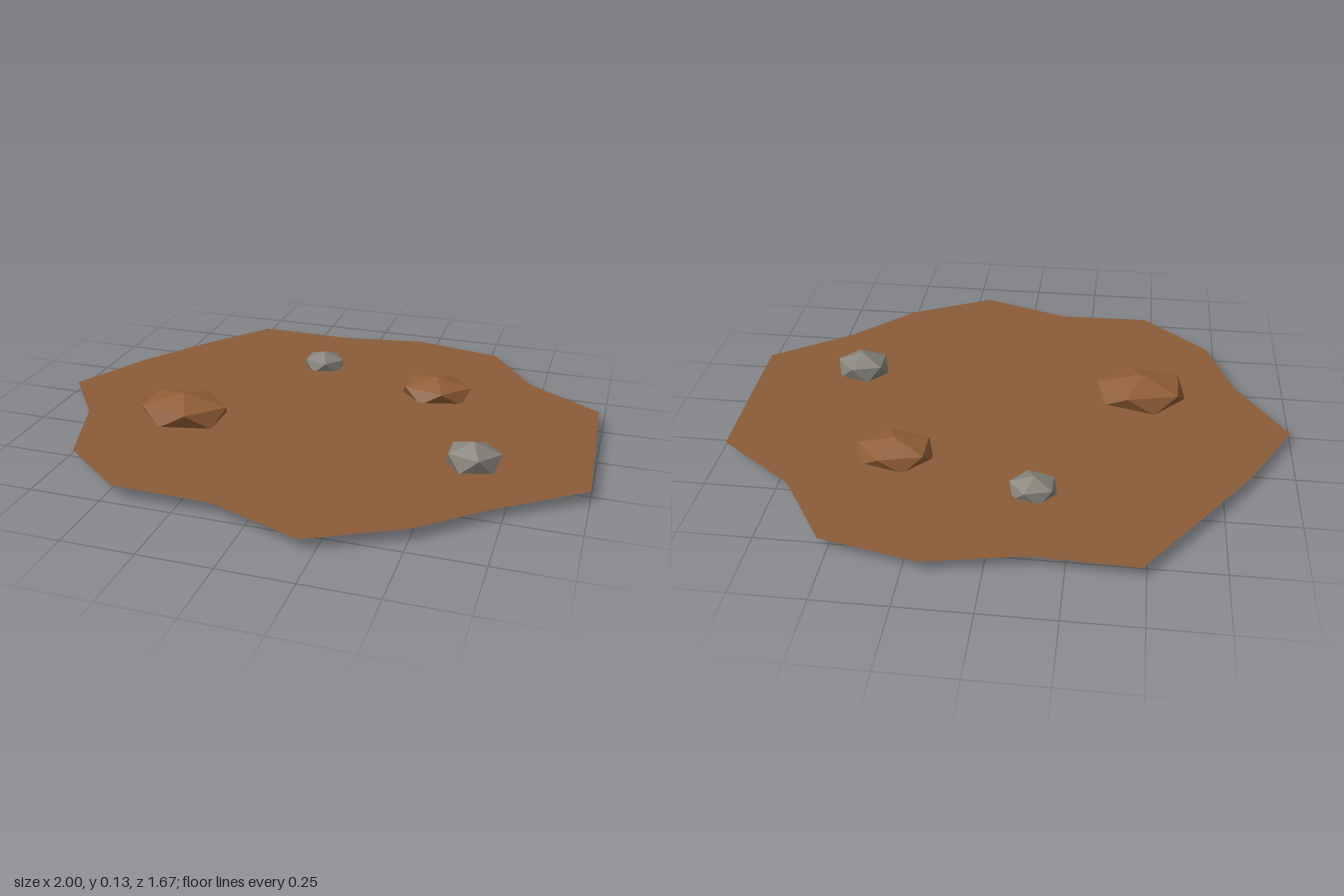
import * as THREE from 'three';
import { ConvexGeometry } from 'three/addons/geometries/ConvexGeometry.js';

const mat = (name, color, side = THREE.FrontSide) =>
  new THREE.MeshStandardMaterial({ name, color, side, flatShading: true });

// Ragged, slightly uneven dirt patch: a triangle fan around the middle
function dirtPatch(material) {
  const rim = [ // x, y, z
    [0.99, 0.042, -0.02], [0.98, 0.045, -0.32], [0.705, 0.04, -0.51], [0.53, 0.038, -0.77],
    [0.195, 0.037, -0.84], [-0.13, 0.04, -0.78], [-0.485, 0.038, -0.79], [-0.695, 0.04, -0.51],
    [-0.845, 0.036, -0.3], [-1, 0.03, -0.02], [-0.81, 0.047, 0.24], [-0.72, 0.036, 0.52],
    [-0.47, 0.046, 0.72], [-0.13, 0.042, 0.72], [0.2, 0.038, 0.835], [0.505, 0.041, 0.68],
    [0.72, 0.034, 0.48], [1, 0.037, 0.28],
  ];
  const positions = [];
  rim.forEach((p, i) => positions.push(0, 0.039, 0, ...p, ...rim[(i + 1) % rim.length]));
  const geometry = new THREE.BufferGeometry();
  geometry.setAttribute('position', new THREE.Float32BufferAttribute(positions, 3));
  geometry.computeVertexNormals();
  const mesh = new THREE.Mesh(geometry, material);
  mesh.name = 'dirtPatch';
  return mesh;
}

// Twenty-sided stone standing on a point, with two staggered rings of five corners
function stoneGeometry() {
  const points = [new THREE.Vector3(0, 1, 0), new THREE.Vector3(0, -1, 0)];
  const y = 1 / Math.sqrt(5), r = 2 * y;
  for (let i = 0; i < 5; i++) {
    const a = (i * 2 * Math.PI) / 5;
    points.push(new THREE.Vector3(r * Math.cos(a), y, r * Math.sin(a)));
    points.push(new THREE.Vector3(-r * Math.cos(a), -y, -r * Math.sin(a)));
  }
  return new ConvexGeometry(points);
}

export function createModel() {
  const model = new THREE.Group();
  model.name = 'dirtPatchWithStones';
  const dirt = mat('dirt', 0x8b5c38, THREE.DoubleSide);
  const clod = mat('clod', 0x915d36);
  const stone = mat('greyStone', 0x85827a);
  model.add(dirtPatch(dirt));

  // name, material, centre x and z, radii x, y, z
  const geometry = stoneGeometry();
  [
    ['largeClod', clod, -0.465, 0.153, 0.184, 0.065, 0.138],
    ['smallClod', clod, 0.373, -0.313, 0.148, 0.056, 0.115],
    ['largeStone', stone, 0.607, 0.208, 0.107, 0.06, 0.091],
    ['smallStone', stone, -0.12, -0.458, 0.09, 0.05, 0.078],
  ].forEach(([name, material, x, z, rx, ry, rz]) => {
    const mesh = new THREE.Mesh(geometry, material);
    mesh.name = name;
    mesh.position.set(x, ry, z);
    mesh.scale.set(rx, ry, rz);
    model.add(mesh);
  });
  return model;
}
